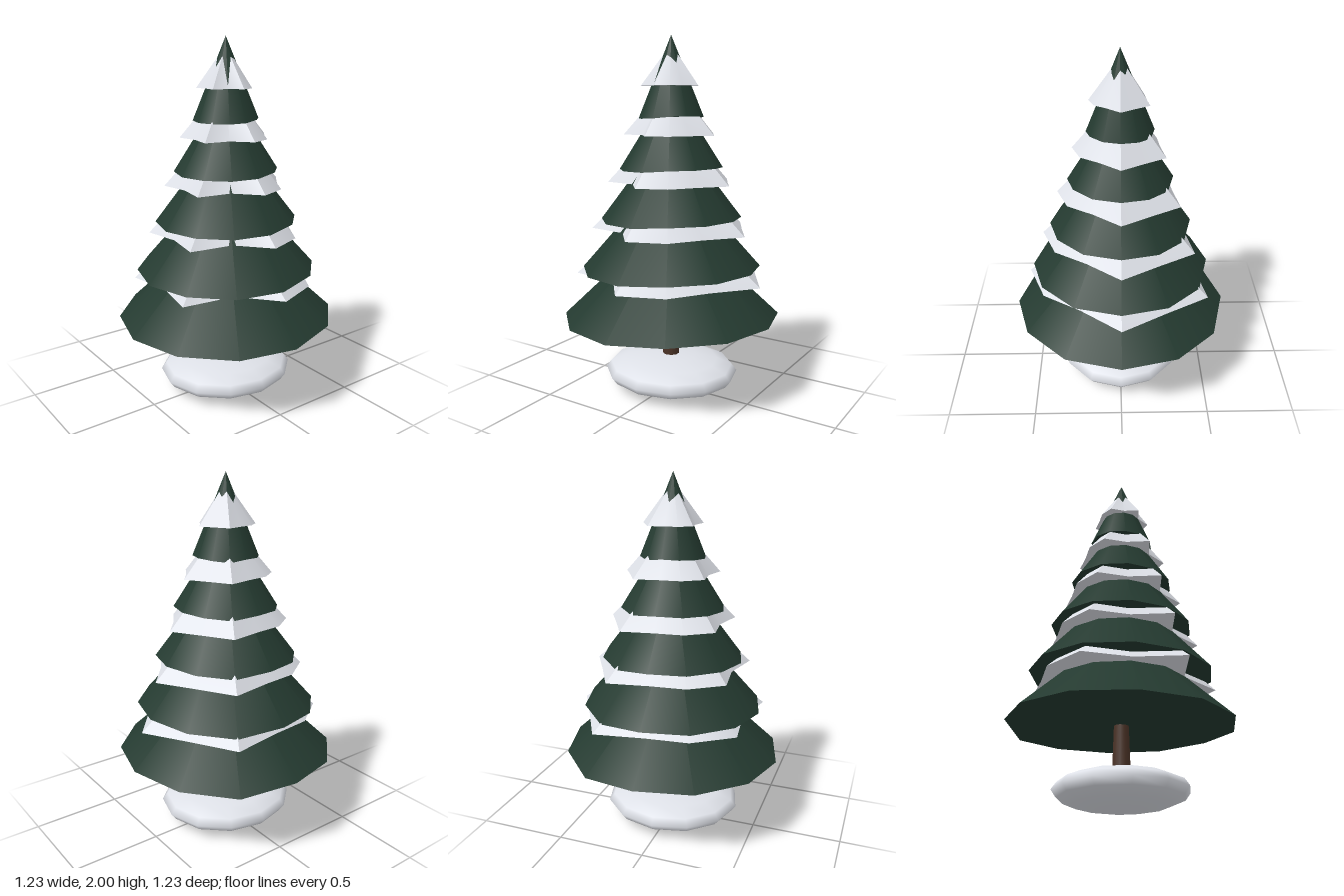
import * as THREE from 'three';
import { toCreasedNormals } from 'three/addons/utils/BufferGeometryUtils.js';

const SIDES = 12;
// Rim variation, one value per corner, from +x round towards +z
const RIM_LIFT = [1, 1, 0.9, -0.5, -1, -1, -1, -0.3, 0.3, 1, -0.9, 0.4];
const SNOW_REACH = [1, 0.79, 0.89, 0.94, 0.64, 0.97, 0.74, 0.93, 0.85, 0.78, 1, 0.86];

const material = (name, color) => {
  const m = new THREE.MeshStandardMaterial({ color });
  m.name = name;
  return m;
};

// Closed cone standing on y = 0 whose rim corners are moved by a rule
function unevenCone(radius, height, moveCorner) {
  const geo = new THREE.ConeGeometry(radius, height, SIDES, 1);
  geo.translate(0, height / 2, 0);
  const p = geo.attributes.position;
  for (let i = 0; i < p.count; i++) {
    const x = p.getX(i), y = p.getY(i), z = p.getZ(i);
    if (y > 1e-4 || Math.hypot(x, z) < 1e-4) continue;
    const k = (Math.round(Math.atan2(z, x) / (Math.PI * 2 / SIDES)) + SIDES) % SIDES;
    const [reach, lift] = moveCorner(k);
    p.setXYZ(i, x * reach, y + lift, z * reach);
  }
  return toCreasedNormals(geo, 0.8);
}

export function createModel() {
  const tree = new THREE.Group();
  tree.name = 'snowyTree';
  const needles = material('needle green', 0x243a30);
  const snow = material('snow white', 0xe6e9f0);
  const bark = material('bark brown', 0x4a3226);

  const add = (name, geo, mat, y) => {
    const mesh = new THREE.Mesh(geo, mat);
    mesh.name = name;
    mesh.position.y = y;
    tree.add(mesh);
    return mesh;
  };

  // Snow mound and trunk
  const mound = add('snowMound', new THREE.SphereGeometry(1, 12, 8), snow, 0.1);
  mound.scale.set(0.39, 0.1, 0.36);
  add('trunk', new THREE.CylinderGeometry(0.038, 0.052, 0.4, 10), bark, 0.3);

  // Branch tiers: rim radius, rim height, cone height
  const tiers = [
    [0.615, 0.442, 0.575], [0.505, 0.722, 0.57], [0.395, 1.002, 0.52],
    [0.288, 1.282, 0.455], [0.18, 1.56, 0.44],
  ];
  tiers.forEach(([r, y, h], i) => {
    const wave = 0.004 + 0.015 * r;
    add(`branchTier${i + 1}`, unevenCone(r, h, (k) => [1, RIM_LIFT[k] * wave]), needles, y);
  });

  // Snow layers lying on each tier
  const layers = [
    [0.56, 0.67, 0.45], [0.465, 0.935, 0.43], [0.367, 1.2, 0.38],
    [0.272, 1.465, 0.3], [0.172, 1.73, 0.222],
  ];
  layers.forEach(([r, y, h], i) => {
    add(`snowLayer${i + 1}`, unevenCone(r, h, (k) => [SNOW_REACH[k], 0]), snow, y);
  });

  return tree;
}
